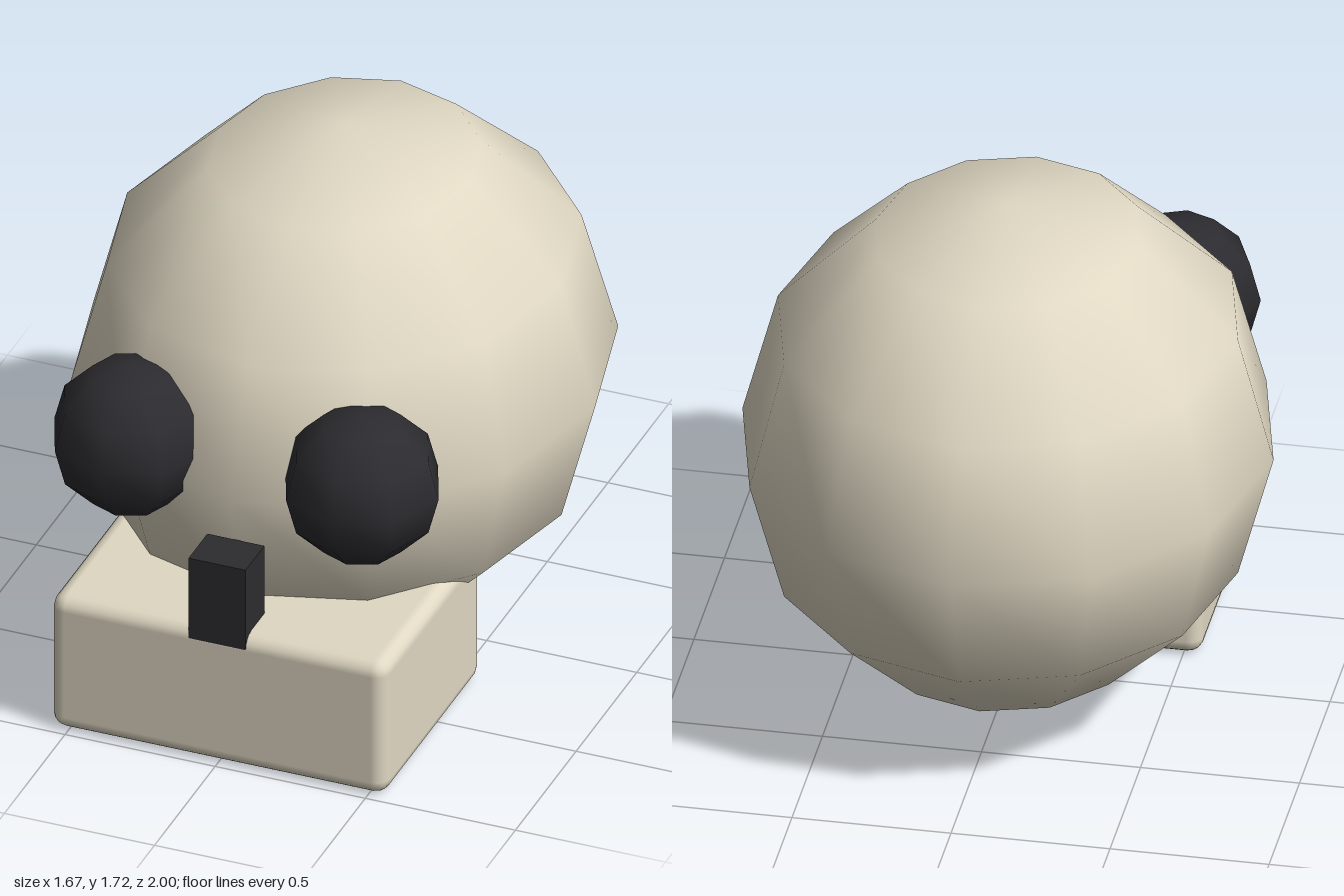
import * as THREE from 'three';
import { RoundedBoxGeometry } from 'three/addons/geometries/RoundedBoxGeometry.js';

export function createModel() {
  const model = new THREE.Group();
  model.name = 'skull';

  const bone = new THREE.MeshStandardMaterial({ color: 0xe0d8c3 });
  const dark = new THREE.MeshStandardMaterial({ color: 0x2c2c30 });

  function add(name, geometry, material, x, y, z) {
    const mesh = new THREE.Mesh(geometry, material);
    mesh.name = name;
    mesh.position.set(x, y, z);
    model.add(mesh);
    return mesh;
  }

  // Cranium: coarse smooth-shaded ball, stretched front to back
  const cranium = add('cranium', new THREE.SphereGeometry(0.835, 12, 6), bone, 0, 0.89, -0.065);
  cranium.scale.z = 1.12;

  // Jaw: block with rounded edges
  add('jaw', new RoundedBoxGeometry(1.12, 0.48, 0.8, 2, 0.05), bone, 0, 0.242, 0.585);

  // Eye sockets: dark balls half sunk into the cranium
  for (const [name, side] of [['leftEyeSocket', 1], ['rightEyeSocket', -1]]) {
    add(name, new THREE.SphereGeometry(0.255, 8, 6), dark, side * 0.385, 0.97, 0.742);
  }

  // Nose: small dark block standing on the front of the jaw
  add('nose', new THREE.BoxGeometry(0.19, 0.29, 0.155), dark, 0, 0.582, 0.907);

  return model;
}
